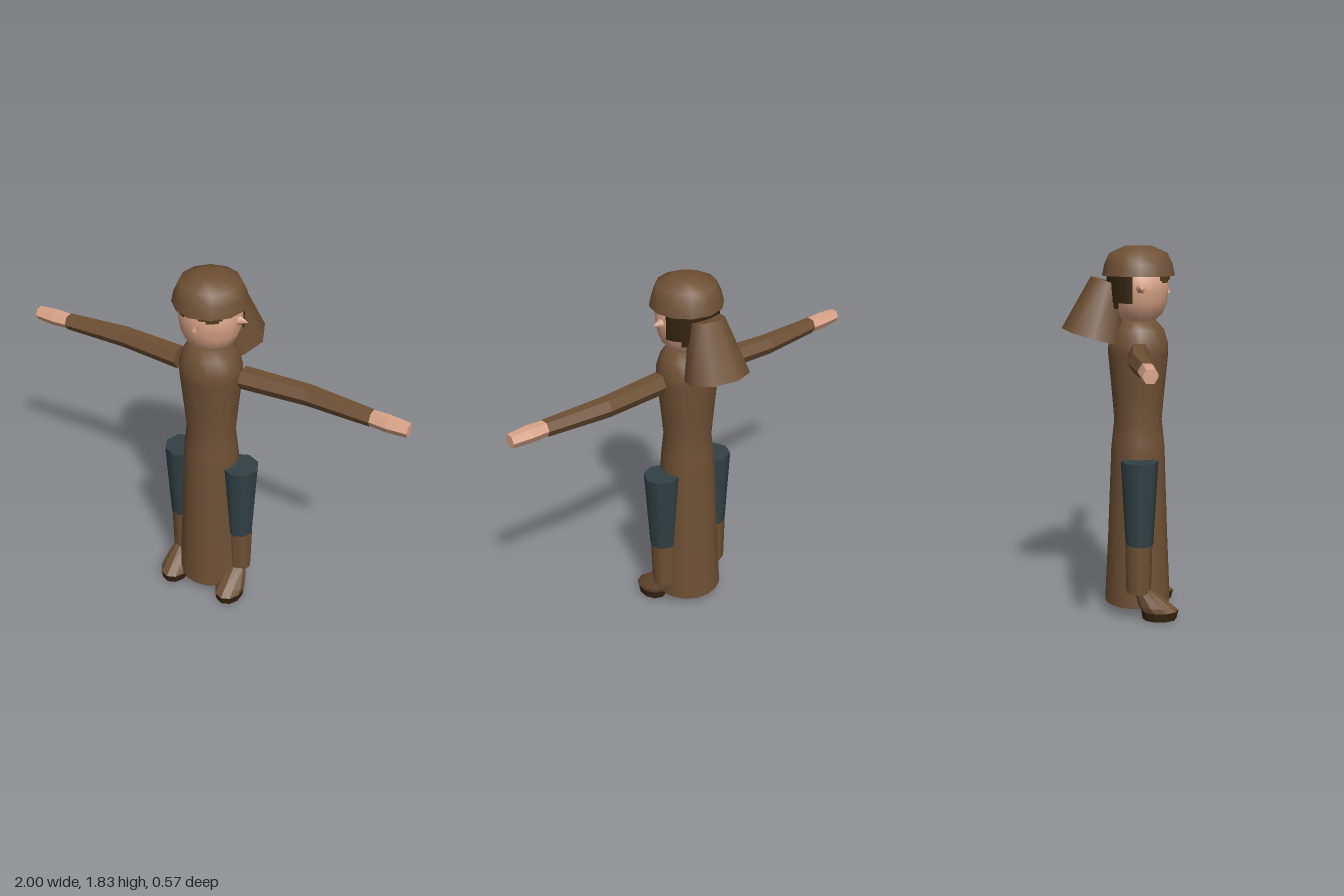
import * as THREE from 'three';

const CZ = 0.087; // body axis depth

export function createModel() {
  const model = new THREE.Group();
  const mat = (name, color) => {
    const m = new THREE.MeshStandardMaterial({ color, side: THREE.DoubleSide });
    m.name = name;
    return m;
  };
  const brown = mat('brown cloth', 0x6e5034);
  const skin = mat('skin', 0xd8a387);
  const teal = mat('dark teal cloth', 0x324145);
  const dark = mat('dark hair and soles', 0x33230f);
  const browMat = mat('brow brown', 0x513a20);
  const lipMat = mat('face line', 0xa87a60);
  const red = mat('red trim', 0xa03428);

  const add = (name, geo, material, x = 0, y = 0, z = 0) => {
    const mesh = new THREE.Mesh(geo, material);
    mesh.name = name;
    mesh.position.set(x, y, z);
    model.add(mesh);
    return mesh;
  };
  const lathe = (pts, n) =>
    new THREE.LatheGeometry(pts.map(([r, y]) => new THREE.Vector2(r, y)), n);

  // Flat-shaded closed loft through rings of points
  const loft = (rings) => {
    const pos = [];
    const tri = (...ps) => ps.forEach((p) => pos.push(...p));
    const n = rings[0].length;
    const mid = (r) => [0, 1, 2].map((k) => r.reduce((s, p) => s + p[k], 0) / n);
    const first = rings[0], last = rings[rings.length - 1];
    for (let j = 0; j < n; j++) {
      const k = (j + 1) % n;
      for (let i = 0; i + 1 < rings.length; i++) {
        const a = rings[i], b = rings[i + 1];
        tri(a[j], a[k], b[k]);
        tri(a[j], b[k], b[j]);
      }
      tri(mid(first), first[k], first[j]);
      tri(mid(last), last[j], last[k]);
    }
    const g = new THREE.BufferGeometry();
    g.setAttribute('position', new THREE.Float32BufferAttribute(pos, 3));
    g.computeVertexNormals();
    return g;
  };
  const ring = (n, f) => Array.from({ length: n }, (_, i) => f((i / n) * Math.PI * 2));

  // Long robe, open at the hem
  const robe = add('robe', lathe([
    [0.165, 0.05], [0.149, 0.4], [0.133, 0.84], [0.129, 0.88], [0.118, 0.98],
    [0.13, 1.12], [0.148, 1.31], [0.147, 1.36], [0.126, 1.43], [0.085, 1.475], [0, 1.48],
  ], 16), brown, 0, 0, CZ);
  robe.scale.x = 1.04;

  // Head
  const head = add('head', lathe([
    [0, 1.455], [0.08, 1.47], [0.118, 1.505], [0.139, 1.56],
    [0.148, 1.62], [0.148, 1.7], [0.1, 1.74], [0, 1.75],
  ], 16), skin, 0, 0, CZ);
  head.scale.x = 1.04;

  // Rounded cap with closed underside
  add('cap', lathe([
    [0.178, 1.69], [0.166, 1.745], [0.142, 1.798], [0.066, 1.832], [0, 1.834],
  ], 12), brown, 0, 0, CZ);
  const under = add('capUnderside', new THREE.CircleGeometry(0.177, 12), brown, 0, 1.691, CZ);
  under.rotation.x = Math.PI / 2;

  // Thin curved bands on the head: back hair, brows, mouth
  const band = (name, material, r, y, h, start, len) =>
    add(name, new THREE.CylinderGeometry(r, r, h, 10, 1, true, start, len), material, 0, y, CZ);
  band('hair', dark, 0.156, 1.627, 0.13, 1.8, 2 * Math.PI - 3.6);
  band('hairLowerEdge', dark, 0.152, 1.55, 0.03, 2.3, 2 * Math.PI - 4.6);
  band('mouth', lipMat, 0.143, 1.56, 0.004, -0.45, 0.9);
  for (const s of [1, -1]) {
    band('brow', browMat, 0.153, 1.679, 0.02, s * 0.52 - 0.36, 0.72);
    band('browTuft', browMat, 0.152, 1.666, 0.016, s * 0.58 - 0.2, 0.4);
  }
  const nose = add('nose', new THREE.ConeGeometry(0.014, 0.045, 4), skin, 0, 1.628, CZ + 0.144);
  nose.rotation.x = -0.1;

  // Hood hanging behind the neck
  const hood = add('hood', new THREE.CylinderGeometry(0.085, 0.157, 0.28, 8), brown, 0, 1.528, -0.1);
  hood.rotation.x = 0.27;

  // Sleeve and hand sections: x, z, radius
  const sleeve = [[0.172, 0.083, 0.056], [0.5, 0.061, 0.051], [0.82, 0.08, 0.041]];
  const hand = [[0.82, 0.08, 0.038], [0.9, 0.083, 0.041], [1.0, 0.084, 0.034]];
  const hexes = (secs) => loft(secs.map(([x, z, r]) =>
    ring(6, (t) => [x, r * Math.cos(t + Math.PI / 6), z + r * Math.sin(t + Math.PI / 6)])));
  // Shoe sections: y, z, half width, half length
  const ovals = (secs) => loft(secs.map(([y, z, rx, rz]) =>
    ring(10, (t) => [rx * Math.sin(t), y, z + rz * Math.cos(t)])));

  for (const s of [1, -1]) {
    const side = s > 0 ? 'left' : 'right';

    // Arms
    for (const [name, secs, m] of [['Sleeve', sleeve, brown], ['Hand', hand, skin]]) {
      const part = add(side + name, hexes(secs), m, 0, 1.325, 0);
      if (s < 0) part.rotation.z = Math.PI;
    }

    // Ear
    const ear = add(side + 'Ear', new THREE.ConeGeometry(0.032, 0.06, 6), skin, s * 0.166, 1.633, 0.09);
    ear.rotation.z = -s * Math.PI / 2;

    // Legs
    const x = s * 0.165;
    add(side + 'Thigh', new THREE.CylinderGeometry(0.092, 0.068, 0.42, 8), teal, x, 0.59, CZ);
    add(side + 'Shin', new THREE.CylinderGeometry(0.067, 0.061, 0.245, 8), brown, x, 0.26, CZ - 0.003);

    // Shoes
    add(side + 'Shoe', ovals([
      [0.043, 0.19, 0.072, 0.092], [0.07, 0.167, 0.07, 0.085], [0.152, 0.105, 0.045, 0.042],
    ]), brown, x);
    add(side + 'Sole', ovals([[0, 0.189, 0.066, 0.084], [0.044, 0.19, 0.073, 0.093]]), dark, x);

    // Small red crossed laces on the instep
    for (const tilt of [0.7, -0.7]) {
      const lace = add(side + 'Lace', new THREE.BoxGeometry(0.034, 0.006, 0.006), red, x, 0.112, 0.181);
      lace.rotation.set(-0.88, 0, tilt);
    }
  }
  return model;
}
